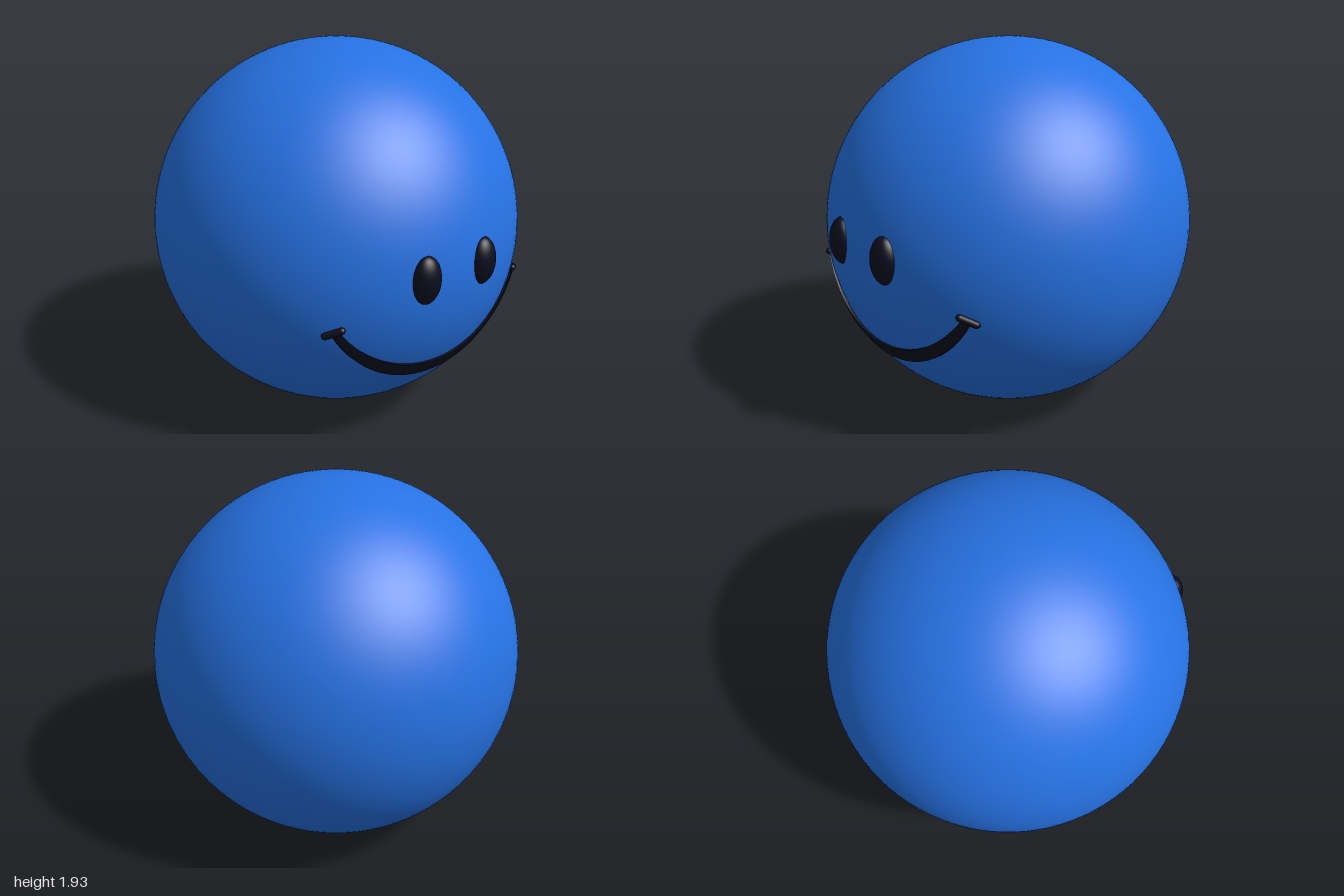
import * as THREE from 'three';
import { toCreasedNormals } from 'three/addons/utils/BufferGeometryUtils.js';

const R = 0.985, CY = 0.945, CZ = -0.015;

// Point on the front of the ball at (x, y), lifted forward by h
function onBall(x, y, h) {
  return new THREE.Vector3(x, y, CZ + Math.sqrt(R * R - x * x - (y - CY) ** 2) + h);
}

// Crescent ribbon between two arcs, wrapped over the ball
function smileGeometry(steps = 64) {
  const section = [[0, -0.02], [0, 0.016], [0.5, 0.02], [1, 0.016], [1, -0.02]]; // across, lift
  const n = section.length, pos = [], idx = [];
  for (let i = 0; i <= steps; i++) {
    const t = (i / steps) * 2 - 1;
    const a = 1.116 * t, b = 0.977 * t;
    const lower = new THREE.Vector2(0.668 * Math.sin(a), 1.063 - 0.668 * Math.cos(a));
    const upper = new THREE.Vector2(0.69 * Math.sin(b), 1.167 - 0.69 * Math.cos(b));
    for (const [s, h] of section) {
      const p = lower.clone().lerp(upper, s);
      pos.push(...onBall(p.x, p.y, h).toArray());
    }
    if (i === steps) continue;
    for (let j = 0; j < n - 1; j++) {
      const q = i * n + j;
      idx.push(q, q + n, q + n + 1, q, q + n + 1, q + 1);
    }
  }
  const g = new THREE.BufferGeometry();
  g.setAttribute('position', new THREE.Float32BufferAttribute(pos, 3));
  g.setIndex(idx);
  return toCreasedNormals(g, 0.7);
}

export function createModel() {
  const blue = new THREE.MeshStandardMaterial({ color: 0x2672e4 });
  blue.name = 'ballBlue';
  const dark = new THREE.MeshStandardMaterial({ color: 0x0c0c1e });
  dark.name = 'faceDark';

  const model = new THREE.Group();
  model.name = 'smilingBall';
  const add = (name, geometry, material) => {
    const mesh = new THREE.Mesh(geometry, material);
    mesh.name = name;
    model.add(mesh);
    return mesh;
  };

  // Ball, cut flat where it stands
  const cut = Math.acos(-CY / R);
  add('ball', new THREE.SphereGeometry(R, 96, 64, 0, Math.PI * 2, 0, cut), blue).position.set(0, CY, CZ);
  const base = add('flatBase', new THREE.CircleGeometry(R * Math.sin(cut), 96), blue);
  base.rotation.x = Math.PI / 2;
  base.position.z = CZ;

  // Smile
  add('smile', smileGeometry(), dark);

  for (const [side, s] of [['left', 1], ['right', -1]]) {
    // Domed oval eye
    const eye = add(side + 'Eye', new THREE.SphereGeometry(1, 40, 28), dark);
    eye.scale.set(0.079, 0.124, 0.065);
    eye.position.set(s * 0.18, 1.0, 0.935);
    eye.rotation.y = s * 0.15;

    // Short crease at the corner of the mouth
    const a = onBall(s * 0.562, 0.79, 0.012), b = onBall(s * 0.622, 0.758, 0.012);
    const dir = b.clone().sub(a);
    const crease = add(side + 'MouthCorner', new THREE.CapsuleGeometry(0.018, dir.length(), 8, 20), dark);
    crease.position.copy(a).add(b).multiplyScalar(0.5);
    crease.quaternion.setFromUnitVectors(new THREE.Vector3(0, 1, 0), dir.normalize());
  }
  return model;
}
